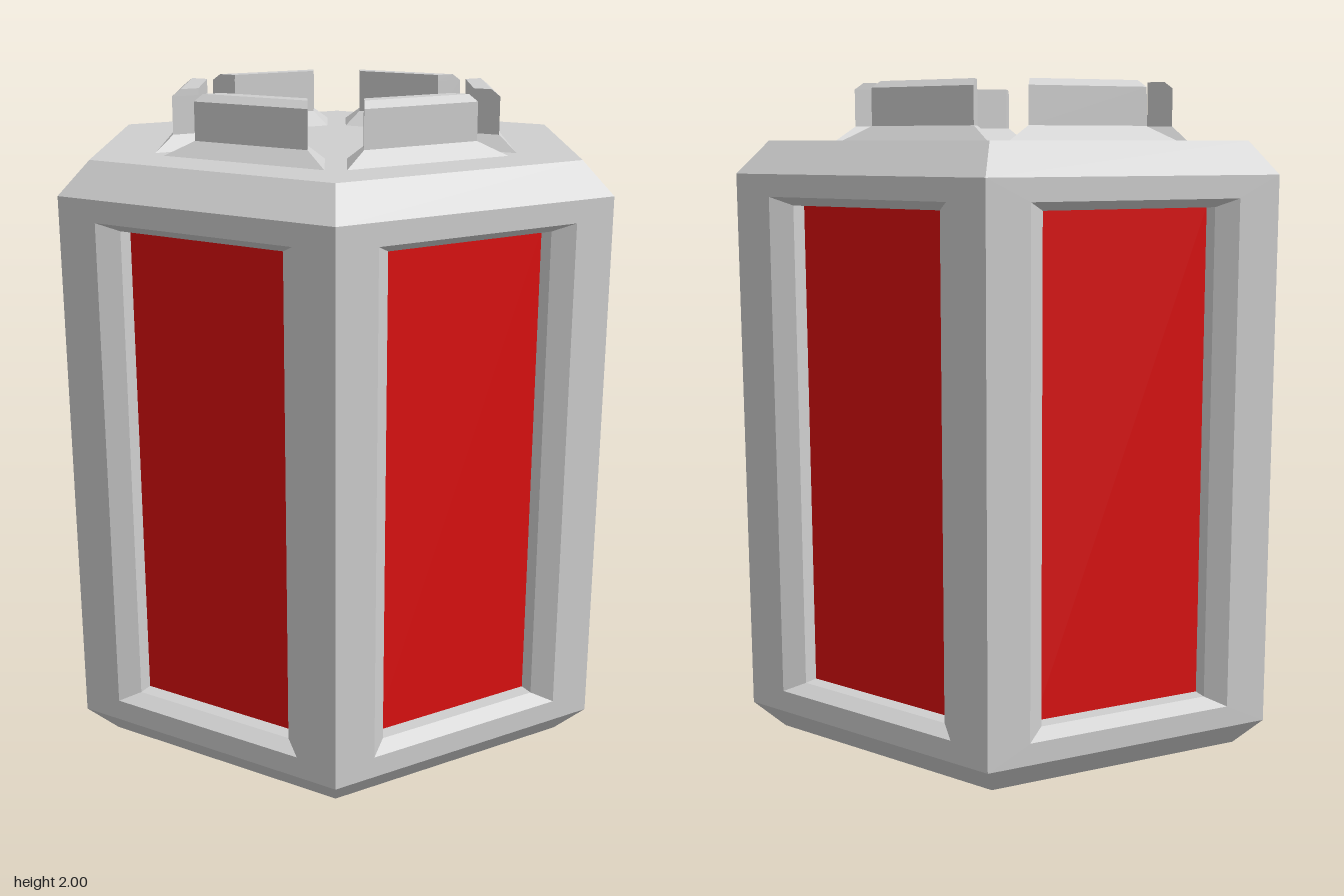
import * as THREE from 'three';
import { mergeGeometries } from 'three/addons/utils/BufferGeometryUtils.js';

const RADIUS = 0.91, APOTHEM = RADIUS * Math.cos(Math.PI / 6);
const CAP_RADIUS = 0.81, TOP = 1.825, SHOULDER = 1.73, FOOT = 0.095;
const LIP = 0.043, DEPTH = 0.088; // sloped lip, then straight wall of each recess

// Counter-clockwise outlines in the xy plane
const rect = (w, y0, y1) => [[-w, y0], [w, y0], [w, y1], [-w, y1]];
const hex = (r) => Array.from({ length: 6 }, (_, i) => {
  const a = Math.PI / 2 + i * Math.PI / 3;
  return [r * Math.cos(a), r * Math.sin(a)];
});
// Block cross-section: inner and outer distance, with half-width at the outer side
const wedge = (inner, outer, w) => {
  const v = w - (outer - inner) * Math.tan(Math.PI / 6);
  return [[inner, -v], [outer, -w], [outer, w], [inner, v]];
};

// Flat-faced bands between outlines given as [outline, z]; facing inward when z falls
function loft(levels) {
  const pos = [];
  for (let k = 0; k + 1 < levels.length; k++) {
    const [a, za] = levels[k], [b, zb] = levels[k + 1];
    a.forEach((p, i) => {
      const j = (i + 1) % a.length;
      const A = [...p, za], B = [...a[j], za], C = [...b[j], zb], D = [...b[i], zb];
      pos.push(...A, ...B, ...C, ...A, ...C, ...D);
    });
  }
  const g = new THREE.BufferGeometry();
  g.setAttribute('position', new THREE.Float32BufferAttribute(pos, 3));
  g.computeVertexNormals();
  return g;
}

// Flat sheet facing +z, with an optional hole
function sheet(outline, z, hole) {
  const points = (o) => o.map(([x, y]) => new THREE.Vector2(x, y));
  const shape = new THREE.Shape(points(outline));
  if (hole) shape.holes.push(new THREE.Path(points(hole)));
  const g = new THREE.ShapeGeometry(shape).toNonIndexed();
  g.deleteAttribute('uv');
  return g.translate(0, 0, z);
}

// Sheet with a framed recess
const recessed = (outline, opening, floor) => mergeGeometries([
  sheet(outline, 0, opening),
  loft([[opening, 0], [floor, -LIP], [floor, -DEPTH]]),
]);

export function createModel() {
  const model = new THREE.Group();
  model.name = 'hexagonalCanister';
  const casing = new THREE.MeshStandardMaterial({ color: 0xcfcfcf });
  casing.name = 'greyCasing';
  const red = new THREE.MeshStandardMaterial({ color: 0xdc1010 });
  red.name = 'redCore';
  const add = (name, geometry, material, angle = 0) => {
    const mesh = new THREE.Mesh(geometry, material);
    mesh.name = name;
    mesh.rotation.y = angle;
    model.add(mesh);
  };

  // Bevelled lid
  add('lid', mergeGeometries([
    loft([[hex(RADIUS), SHOULDER], [hex(CAP_RADIUS), TOP]]),
    sheet(hex(CAP_RADIUS), TOP),
  ]).rotateX(-Math.PI / 2), casing);

  // Bevelled base with a hexagonal recess underneath
  add('base', mergeGeometries([
    loft([[hex(RADIUS), -FOOT], [hex(CAP_RADIUS), 0]]),
    recessed(hex(CAP_RADIUS), hex(0.33), hex(0.27)),
  ]).rotateX(Math.PI / 2), casing);
  add('baseWindow', sheet(hex(0.27), -DEPTH).rotateX(Math.PI / 2), red);

  // Side frames with recessed red windows
  const floor = rect(0.27, 0.185, 1.64);
  const frame = recessed(rect(RADIUS / 2, FOOT, SHOULDER), rect(0.325, 0.16, 1.665), floor)
    .translate(0, 0, APOTHEM);
  const pane = sheet(floor, APOTHEM - DEPTH);

  // Top block: sloped foot, upright wall, chamfered outer edges
  const crown = wedge(0.41, 0.46, 0.175);
  const block = mergeGeometries([
    loft([
      [wedge(0.345, 0.53, 0.27), TOP],
      [wedge(0.41, 0.485, 0.19), 1.868],
      [wedge(0.41, 0.485, 0.19), 1.98],
      [crown, 2],
    ]),
    sheet(crown, 2),
  ]).rotateX(-Math.PI / 2);

  for (let i = 0; i < 6; i++) {
    const turn = i * Math.PI / 3;
    add('sideFrame', frame, casing, turn + Math.PI / 6);
    add('sideWindow', pane, red, turn + Math.PI / 6);
    add('topBlock', block, casing, turn);
  }
  return model;
}
